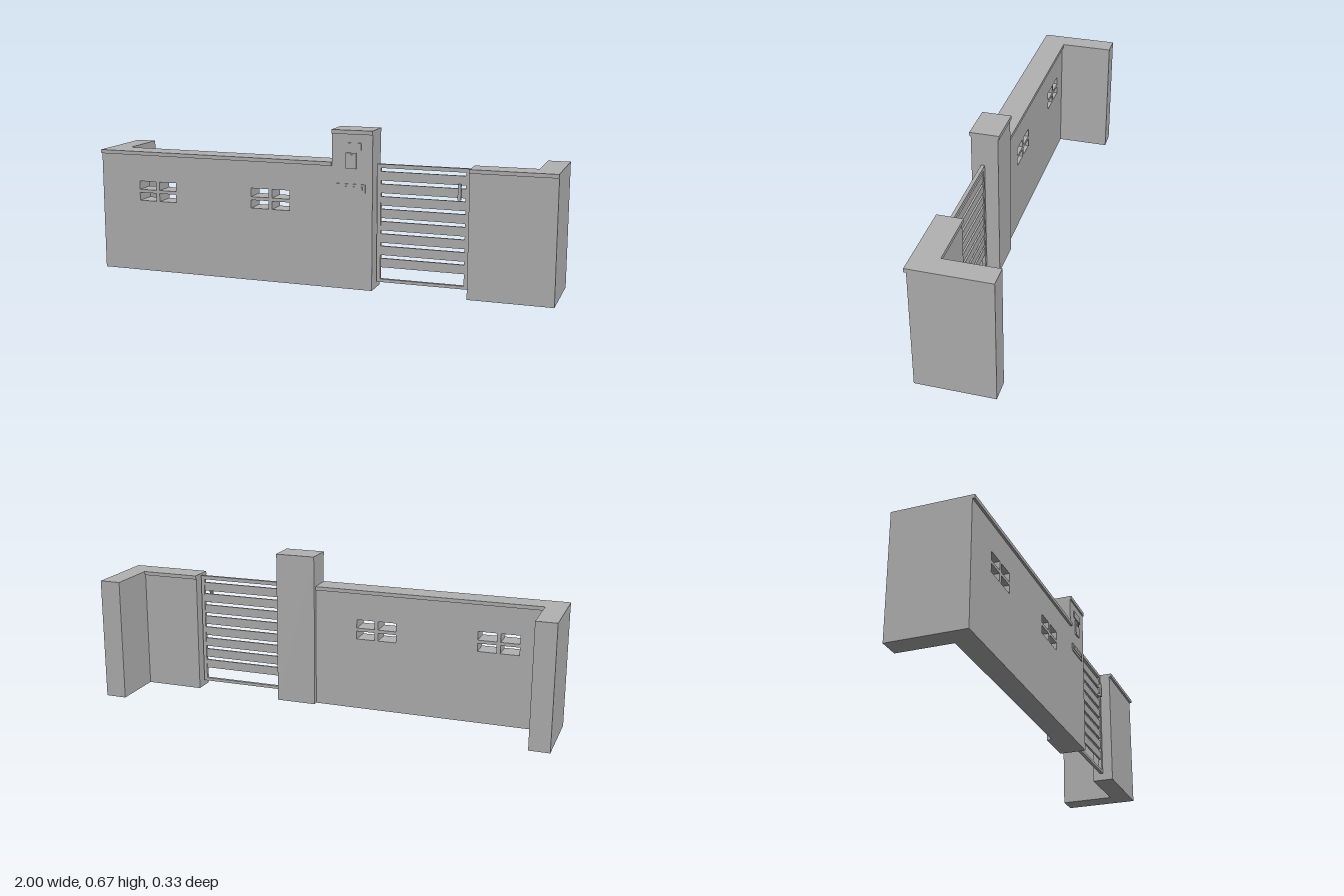
import * as THREE from 'three';

export function createModel() {
  const model = new THREE.Group();
  const grey = new THREE.MeshStandardMaterial({ color: 0xb2b2b2 });
  grey.name = 'plain grey';

  // Box given by its limits on each axis
  function box(name, [x0, x1], [y0, y1], [z0, z1], parent = model) {
    const mesh = new THREE.Mesh(new THREE.BoxGeometry(x1 - x0, y1 - y0, z1 - z0), grey);
    mesh.position.set((x0 + x1) / 2, (y0 + y1) / 2, (z0 + z1) / 2);
    mesh.name = name;
    parent.add(mesh);
    return mesh;
  }

  function rect(path, x0, x1, y0, y1) {
    path.moveTo(x0, y0);
    path.lineTo(x1, y0);
    path.lineTo(x1, y1);
    path.lineTo(x0, y1);
    path.closePath();
    return path;
  }

  const top = 0.533, lip = 0.517;
  const wallZ = [0.067, 0.158], copingZ = [0.06, 0.168];

  // Long wall with two windows of four openings, the cross bars full depth
  const wall = rect(new THREE.Shape(), -1, 0.075, 0, lip);
  for (const x of [-0.73, -0.2]) {
    for (const [x0, x1] of [[x - 0.088, x - 0.008], [x + 0.008, x + 0.088]]) {
      for (const [y0, y1] of [[0.315, 0.35], [0.364, 0.401]]) {
        wall.holes.push(rect(new THREE.Path(), x0, x1, y0, y1));
      }
    }
  }
  const longWall = new THREE.Mesh(
    new THREE.ExtrudeGeometry(wall, { depth: wallZ[1] - wallZ[0], bevelEnabled: false }), grey);
  longWall.position.z = wallZ[0];
  longWall.name = 'longWall';
  model.add(longWall);
  box('longWallCoping', [-1, 0.075], [lip, top], copingZ);

  // Short wall beyond the gate
  box('shortWall', [0.65, 1], [0, lip], wallZ);
  box('shortWallCoping', [0.65, 1], [lip, top], copingZ);

  // Return walls running back from both ends
  box('rightReturnWall', [-1, -0.912], [0, top], [-0.167, wallZ[0]]);
  box('leftReturnWall', [0.908, 1], [0, top], [-0.167, wallZ[0]]);

  // Gate pier and its cap
  box('pier', [0.075, 0.25], [0, 0.65], [0.045, 0.158]);
  box('pierCap', [0.075, 0.25], [0.65, 0.667], [0.04, 0.164]);

  // Fittings on the pier
  box('plaque', [0.12, 0.202], [0.585, 0.615], [0.157, 0.162]);
  box('intercom', [0.137, 0.181], [0.508, 0.574], [0.157, 0.164]);
  box('bellButton', [0.152, 0.166], [0.555, 0.567], [0.163, 0.1665]);
  box('letterPlate', [0.095, 0.22], [0.41, 0.445], [0.157, 0.162]);
  box('letterFlap', [0.107, 0.208], [0.421, 0.435], [0.161, 0.164]);

  // Gate: frame, eight slats and a handle
  const gate = new THREE.Group();
  gate.name = 'gate';
  model.add(gate);
  const frame = rect(new THREE.Shape(), 0.257, 0.642, 0.03, 0.527);
  frame.holes.push(rect(new THREE.Path(), 0.273, 0.627, 0.043, 0.511));
  const gateFrame = new THREE.Mesh(
    new THREE.ExtrudeGeometry(frame, { depth: 0.015, bevelEnabled: false }), grey);
  gateFrame.position.z = 0.1;
  gateFrame.name = 'gateFrame';
  gate.add(gateFrame);
  for (let i = 0; i < 8; i++) {
    const y = 0.112 + i * 0.0522;
    box('gateSlat', [0.272, 0.628], [y - 0.019, y + 0.019], [0.103, 0.112], gate);
  }
  box('gateHandle', [0.598, 0.611], [0.4, 0.465], [0.122, 0.131], gate);
  for (const y of [0.41, 0.455]) {
    box('handleMount', [0.6, 0.609], [y - 0.005, y + 0.005], [0.111, 0.123], gate);
  }

  return model;
}
